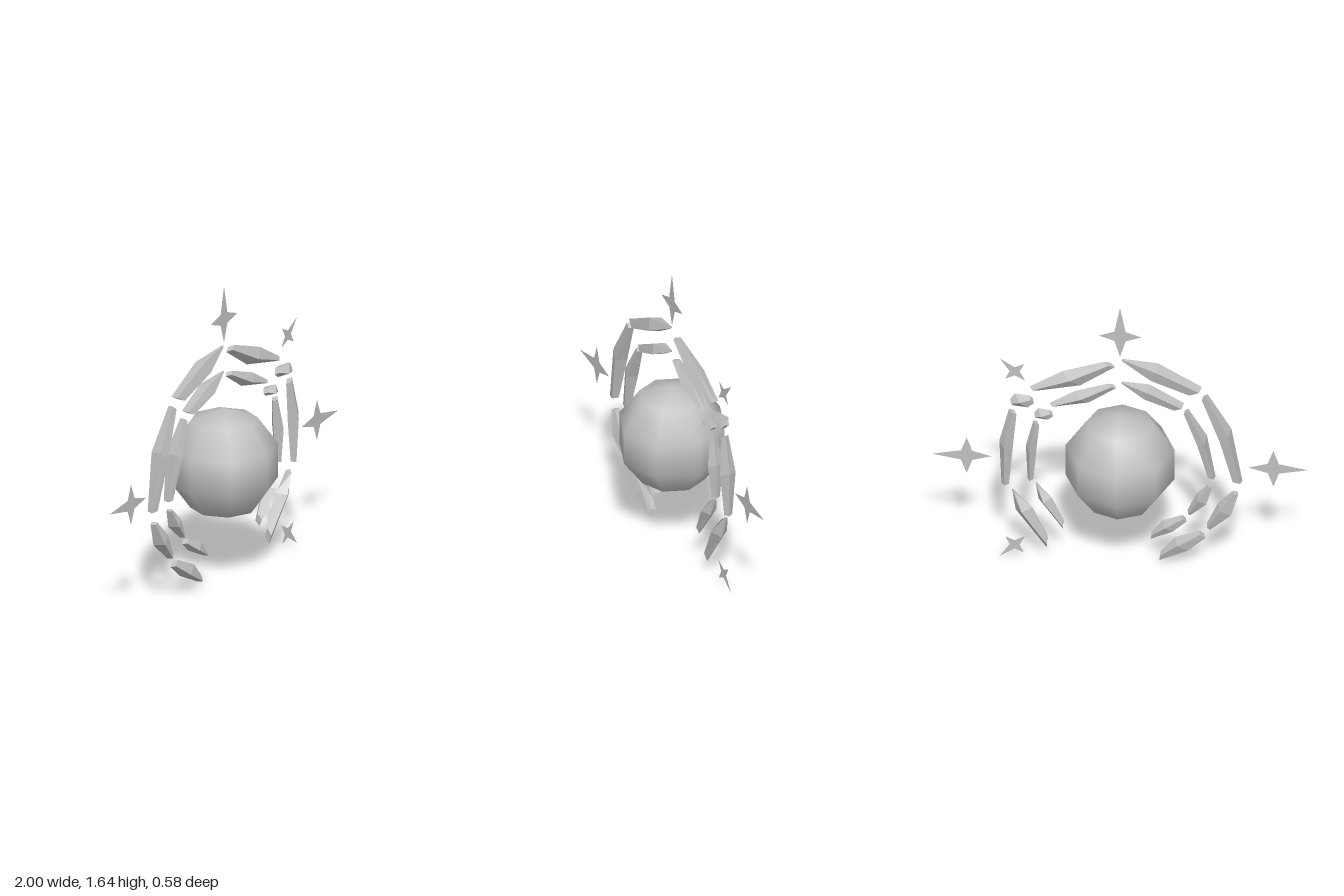
import * as THREE from 'three';

// Double-sided because the stars are open sheets
const grey = new THREE.MeshStandardMaterial({ color: 0xc0c0c0, side: THREE.DoubleSide });
grey.name = 'grey';

const CENTRE_Y = 0.65;
const INNER_SCALE = 0.78;

// Faceted shard: three four-cornered sections, each spanning an outer and an inner point.
// skew 0 gives a diamond section, +1 or -1 a box section.
function shardGeometry(outer, inner, skew, depths) {
  const sections = outer.map(([ox, oy], i) => {
    const [ix, iy] = inner[i], t = depths[i], k = skew * t;
    const at = (m, z) => [ix + (ox - ix) * m, iy + (oy - iy) * m, z];
    return [at(1, k), at(0.5 - skew / 2, t), at(0, -k), at(0.5 + skew / 2, -t)];
  });
  // Run the sections so that faces point outwards
  const ux = outer[1][0] - inner[1][0], uy = outer[1][1] - inner[1][1];
  const ax = outer[2][0] - outer[0][0], ay = outer[2][1] - outer[0][1];
  if (uy * ax - ux * ay < 0) sections.reverse();
  const pos = [];
  const quad = (a, b, c, d) => pos.push(...a, ...b, ...c, ...a, ...c, ...d);
  for (let s = 0; s < 2; s++) {
    for (let i = 0; i < 4; i++) {
      const j = (i + 1) % 4, p = sections[s], q = sections[s + 1];
      quad(p[i], p[j], q[j], q[i]);
    }
  }
  const [f, , l] = sections;
  quad(f[3], f[2], f[1], f[0]);
  quad(l[0], l[1], l[2], l[3]);
  const g = new THREE.BufferGeometry();
  g.setAttribute('position', new THREE.Float32BufferAttribute(pos, 3));
  g.computeVertexNormals();
  return g;
}

// Four-pointed flat star whose long arm points along +y before turning
function starGeometry(scale) {
  const pts = [[0, 0.185], [0.03, 0.03], [0.115, 0], [0.03, -0.03],
    [0, -0.132], [-0.03, -0.03], [-0.115, 0], [-0.03, 0.03]];
  return new THREE.ShapeGeometry(new THREE.Shape(
    pts.map(([x, y]) => new THREE.Vector2(x * scale, y * scale))));
}

export function createModel() {
  const model = new THREE.Group();
  model.name = 'orbWithShardRings';
  const add = (name, geometry, parent) => {
    const m = new THREE.Mesh(geometry, grey);
    m.name = name;
    parent.add(m);
    return m;
  };

  // Central orb
  add('orb', new THREE.SphereGeometry(0.305, 8, 5), model).position.y = CENTRE_Y;

  // The inner ring repeats the outer one, drawn in towards the orb
  const outerRing = new THREE.Group();
  outerRing.name = 'outerRing';
  const innerRing = new THREE.Group();
  innerRing.name = 'innerRing';
  innerRing.scale.set(INNER_SCALE, INNER_SCALE, 1);
  innerRing.position.y = CENTRE_Y * (1 - INNER_SCALE);
  model.add(outerRing, innerRing);

  // One shard in each ring, from its outer edge, inner edge, skew and half depths
  const addShard = (name, outer, inner, skew, depths) => {
    const geometry = shardGeometry(outer, inner, skew, depths);
    add(name, geometry, outerRing);
    add(name, geometry, innerRing);
  };
  const blunt = [0.02, 0.043, 0.022], pointed = [0.006, 0.043, 0.03];

  // Right half, from the top down
  addShard('upperRightShard', [[-0.01, 1.315], [-0.2, 1.28], [-0.435, 1.145]],
    [[-0.01, 1.305], [-0.165, 1.2], [-0.37, 1.11]], 0.6, pointed);
  addShard('rightShard', [[-0.465, 1.105], [-0.59, 0.88], [-0.65, 0.555]],
    [[-0.435, 1.08], [-0.53, 0.83], [-0.6, 0.56]], 0.6, blunt);
  addShard('lowerRightShard', [[-0.63, 0.48], [-0.59, 0.35], [-0.48, 0.245]],
    [[-0.6, 0.49], [-0.52, 0.4], [-0.46, 0.27]], -0.5, blunt);
  addShard('bottomShard', [[-0.455, 0.19], [-0.36, 0.11], [-0.21, 0.035]],
    [[-0.42, 0.225], [-0.29, 0.165], [-0.215, 0.08]], -0.5, blunt);

  // Left half, from the top down
  addShard('upperLeftShard', [[0.085, 1.29], [0.305, 1.215], [0.48, 1.11]],
    [[0.025, 1.265], [0.21, 1.14], [0.44, 1.09]], 0.2, blunt);
  addShard('pebble', [[0.485, 1.05], [0.56, 1.055], [0.585, 1.02]],
    [[0.455, 1.01], [0.49, 0.985], [0.565, 0.99]], 0.3, blunt);
  addShard('leftShard', [[0.59, 0.96], [0.642, 0.75], [0.63, 0.48]],
    [[0.55, 0.93], [0.57, 0.71], [0.59, 0.48]], 0.2, blunt);
  addShard('lowerLeftShard', [[0.575, 0.445], [0.555, 0.31], [0.39, 0.075]],
    [[0.56, 0.42], [0.465, 0.34], [0.385, 0.165]], 0.2, blunt);

  // Stars around the rings: name, x, y, turn in degrees, scale
  const stars = [
    ['topStar', 0, 1.46, 0, 1],
    ['rightStar', -0.815, 0.65, 90, 1],
    ['leftStar', 0.815, 0.65, -90, 1],
    ['upperLeftStar', 0.56, 1.205, -45, 0.62],
    ['lowerLeftStar', 0.56, 0.088, -135, 0.62],
  ];
  for (const [name, x, y, turn, scale] of stars) {
    const star = add(name, starGeometry(scale), model);
    star.position.set(x, y, 0);
    star.rotation.z = THREE.MathUtils.degToRad(turn);
  }
  return model;
}
